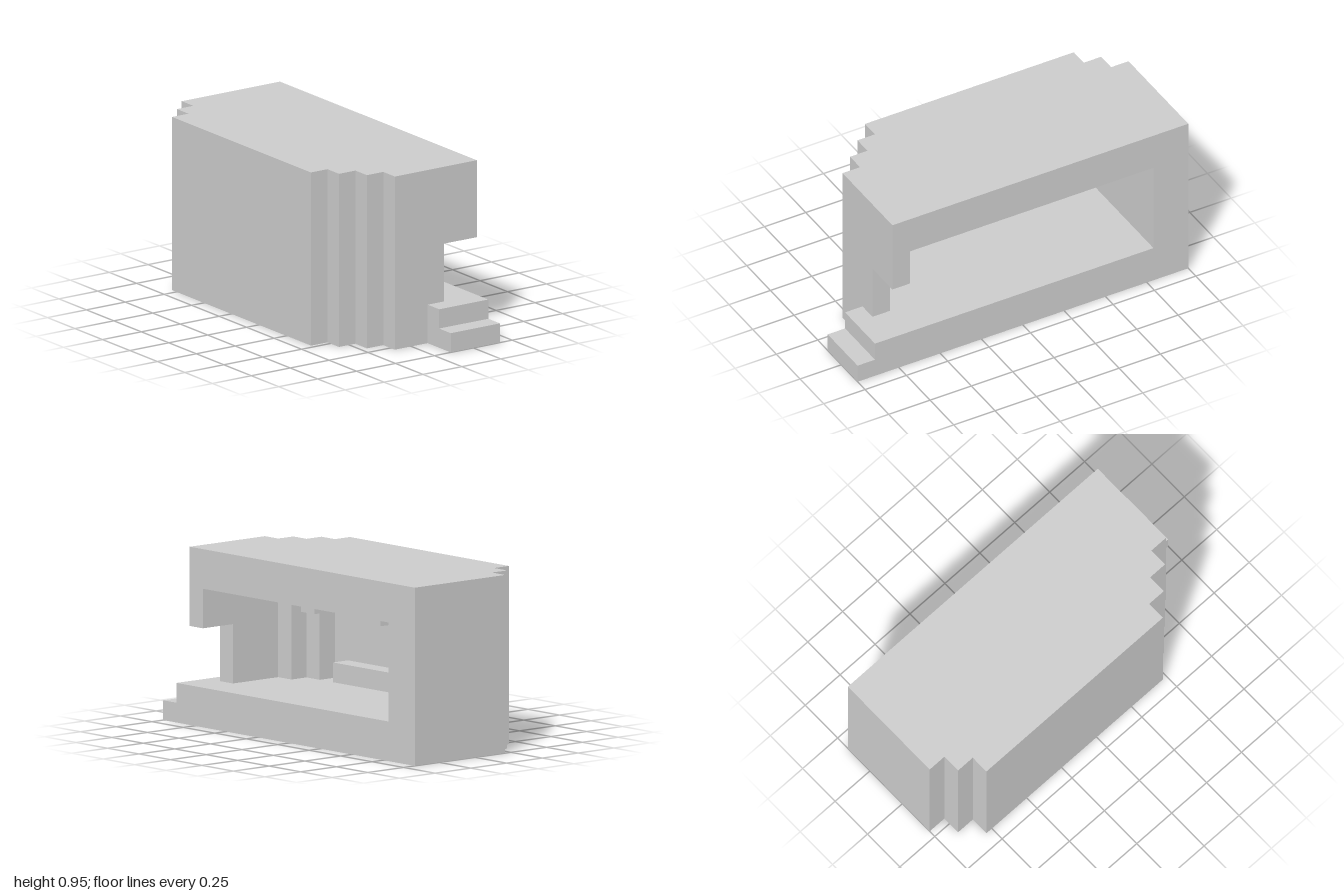
import * as THREE from 'three';

const U = 2 / 19; // one block; all sizes below are in blocks

export function createModel() {
  const model = new THREE.Group();
  const material = new THREE.MeshStandardMaterial({ color: 0xcccccc, flatShading: true });

  function add(name, geometry) {
    const mesh = new THREE.Mesh(geometry, material);
    mesh.name = name;
    model.add(mesh);
  }

  // Box between two corners
  function box(name, [x0, x1], [y0, y1], [z0, z1]) {
    const g = new THREE.BoxGeometry((x1 - x0) * U, (y1 - y0) * U, (z1 - z0) * U);
    g.translate((x0 + x1) / 2 * U, (y0 + y1) / 2 * U, (z0 + z1) / 2 * U);
    add(name, g);
  }

  // Floor plan [x, z] extruded upwards
  function slab(name, plan, y0, y1) {
    const shape = new THREE.Shape(plan.map(([x, z]) => new THREE.Vector2(x * U, -z * U)));
    const g = new THREE.ExtrudeGeometry(shape, { depth: (y1 - y0) * U, bevelEnabled: false });
    g.rotateX(-Math.PI / 2);
    g.translate(0, y0 * U, 0);
    add(name, g);
  }

  // Floor and roof share the stepped plan
  const plan = [
    [4, -9.5], [-2, -9.5], [-2, -8.5], [-3, -8.5], [-3, -7.5], [-4, -7.5],
    [-4, 4.5], [-3, 4.5], [-3, 5.5], [-2, 5.5], [-2, 6.5], [-1, 6.5], [-1, 7.5], [4, 7.5],
  ];
  slab('floor', plan, 0, 2);
  slab('roof', plan, 7, 9);

  // Walls between floor and roof; the left side stays open
  const wall = [2, 7];
  slab('backWall', [[4, -9.5], [-2, -9.5], [-2, -8.5], [-3, -8.5], [-3, -7.5], [4, -7.5]], ...wall);
  box('sideWall', [-4, -3], wall, [-7.5, 4.5]);
  for (let i = 0; i < 2; i++) {
    box('cornerWall', [-3 + i, -2 + i], wall, [4.5 + i, 5.5 + i]);
  }
  box('frontWall', [-1, 2], wall, [6.5, 7.5]);
  box('doorLintel', [2, 4], [5, 7], [6.5, 7.5]);

  // Entrance steps
  box('upperStep', [1, 4], [0, 2], [7.5, 8.5]);
  box('lowerStep', [1, 4], [0, 1], [8.5, 9.5]);

  // Interior bench and ceiling lamps
  box('bench', [-3, -2], [2, 3], [-6.5, 3.5]);
  for (const z of [-3.5, 1.5]) box('ceilingLamp', [0, 1], [6, 7], [z, z + 1]);

  return model;
}
